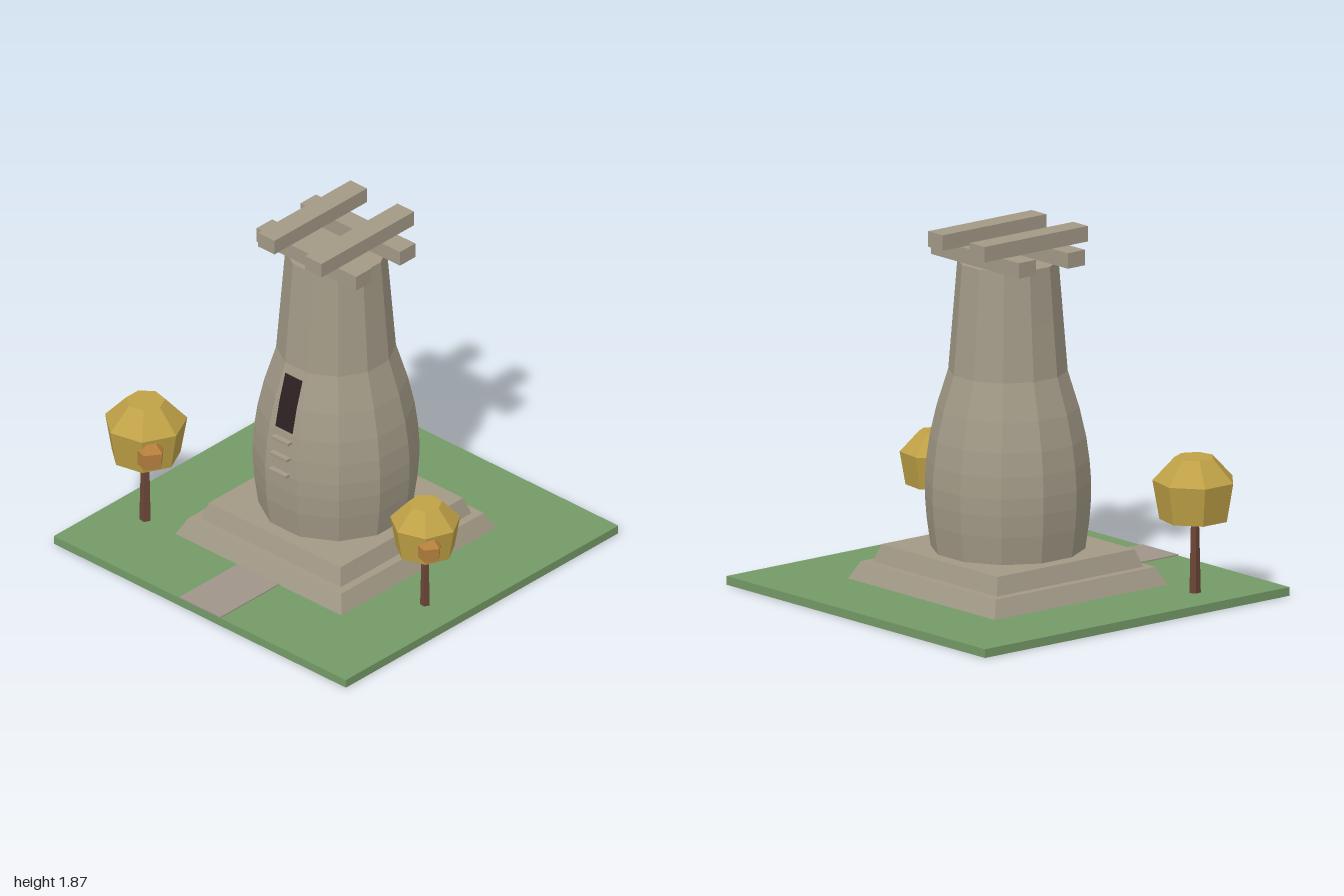
import * as THREE from 'three';

const flat = (name, color) => new THREE.MeshStandardMaterial({ name, color, flatShading: true });

// Tower profile: [distance from axis to face, height]
const PROFILE = [
  [0.375, 0.22], [0.395, 0.37], [0.403, 0.48], [0.404, 0.57], [0.396, 0.68],
  [0.38, 0.8], [0.347, 0.95], [0.29, 1.14], [0.268, 1.42], [0.246, 1.705],
];

function faceDistance(y) {
  for (let i = 1; i < PROFILE.length; i++) {
    const [r0, y0] = PROFILE[i - 1], [r1, y1] = PROFILE[i];
    if (y <= y1) return r0 + (r1 - r0) * (y - y0) / (y1 - y0);
  }
  return PROFILE[PROFILE.length - 1][0];
}

// Closed faceted solid of revolution; the first corner sits at angle phi from +z
function faceted(rings, sides, phi) {
  const pts = [[0, rings[0][1]], ...rings, [0, rings[rings.length - 1][1]]];
  return new THREE.LatheGeometry(pts.map(([r, y]) => new THREE.Vector2(r, y)), sides, phi);
}

export function createModel() {
  const model = new THREE.Group();
  model.name = 'towerScene';

  const stone = flat('stone', 0xa29986);
  const pathStone = flat('pathStone', 0x9f948a);
  const grass = flat('grass', 0x749a67);
  const gold = flat('goldLeaves', 0xbfa146);
  const orange = flat('orangeLeaves', 0xb9823e);
  const bark = flat('bark', 0x6a4637);
  const dark = flat('darkOpening', 0x2c2022);

  const add = (parent, name, geometry, material, x = 0, y = 0, z = 0) => {
    const mesh = new THREE.Mesh(geometry, material);
    mesh.name = name;
    mesh.position.set(x, y, z);
    parent.add(mesh);
    return mesh;
  };

  // Ground and path
  add(model, 'ground', new THREE.BoxGeometry(2, 0.045, 2), grass, 0, 0.0225, 0);
  add(model, 'path', new THREE.BoxGeometry(0.28, 0.008, 0.46), pathStone, 0, 0.047, 0.77);

  // Two square sloping tiers
  const tier = (name, bottom, top, y0, y1) =>
    add(model, name, faceted([[bottom * Math.SQRT2, y0], [top * Math.SQRT2, y1]], 4, Math.PI / 4), stone);
  tier('lowerTier', 0.568, 0.524, 0.045, 0.135);
  tier('upperTier', 0.48, 0.45, 0.135, 0.225);

  // Twelve-sided tower with a flat face to the front
  const corner = 1 / Math.cos(Math.PI / 12);
  add(model, 'tower', faceted(PROFILE.map(([r, y]) => [r * corner, y]), 12, Math.PI / 12), stone);

  // Crossed beams on the tower top
  for (const s of [-1, 1]) {
    add(model, 'lowerBeam', new THREE.BoxGeometry(0.68, 0.08, 0.113), stone, 0, 1.746, s * 0.161);
    add(model, 'upperBeam', new THREE.BoxGeometry(0.113, 0.08, 0.68), stone, s * 0.161, 1.826, 0);
  }

  // Dark opening that follows the curve of the front face
  const opening = new THREE.PlaneGeometry(0.118, 0.28, 1, 14);
  opening.translate(0, 0.954, 0);
  const pos = opening.attributes.position;
  for (let i = 0; i < pos.count; i++) pos.setZ(i, faceDistance(pos.getY(i)) + 0.005);
  add(model, 'opening', opening, dark);

  // Small ledges below the opening
  for (const y of [0.763, 0.673, 0.58]) {
    add(model, 'ledge', new THREE.BoxGeometry(0.118, 0.015, 0.05), stone, 0, y, faceDistance(y) + 0.005);
  }

  // Trees: trunk, large crown and a small side clump
  const tree = (name, x, z, scale, turn) => {
    const group = new THREE.Group();
    group.name = name;
    group.position.set(x, 0.045, z);
    group.scale.setScalar(scale);
    model.add(group);
    add(group, 'trunk', faceted([[0.031, 0], [0.023, 0.342]], 5, 0.5), bark);
    add(group, 'crown', faceted([[0.177, 0.38], [0.212, 0.58], [0.1, 0.7]], 7, turn), gold);
    add(group, 'sideClump', faceted([[0.07, -0.065], [0.08, 0.025], [0.042, 0.065]], 5, 0.33),
      orange, 0.133, 0.495, 0.107);
  };
  tree('rightTree', -0.775, 0.568, 1, -0.23);
  tree('leftTree', 0.799, 0.201, 0.85, -0.14);

  return model;
}
